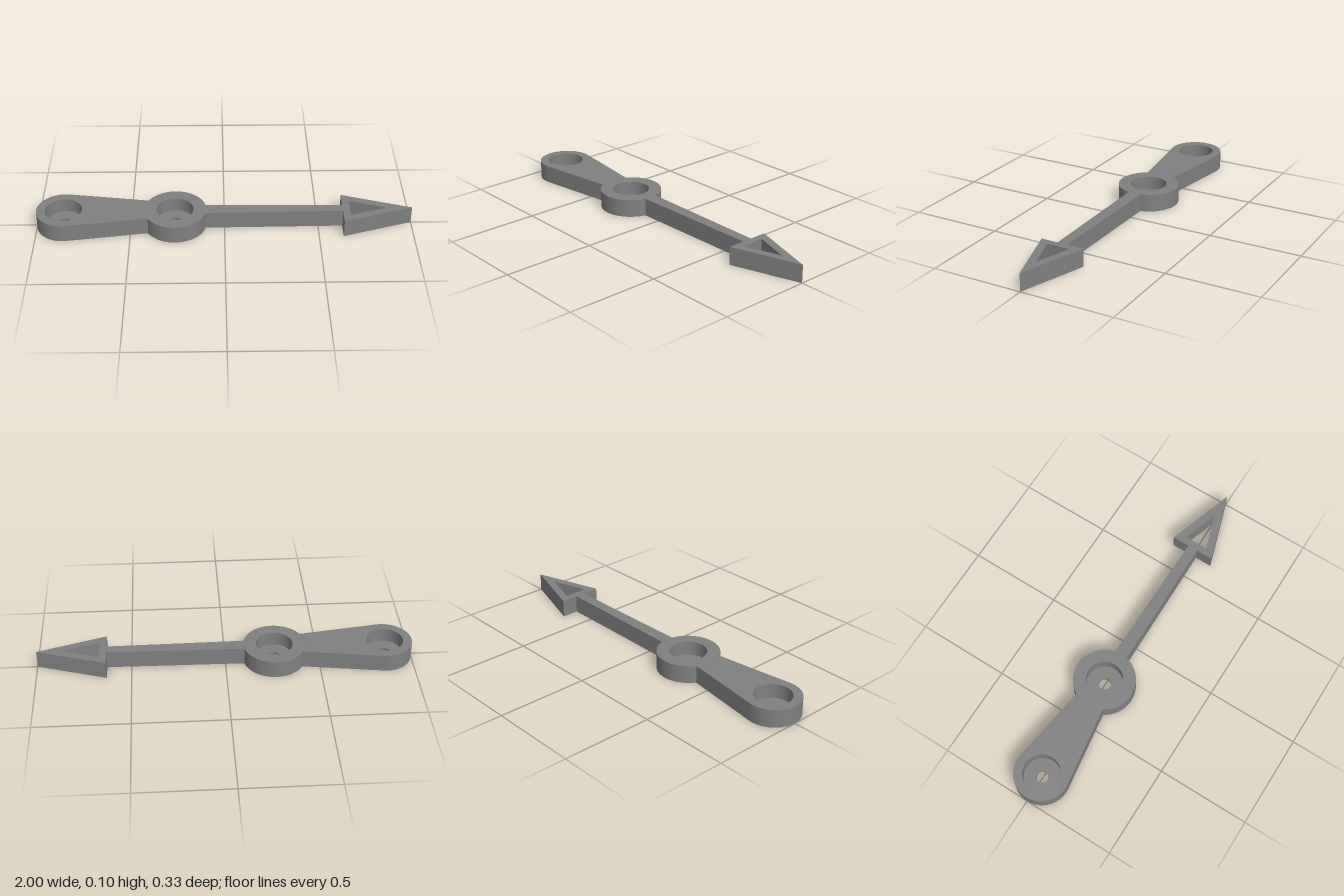
import * as THREE from 'three';
import { toCreasedNormals } from 'three/addons/utils/BufferGeometryUtils.js';

const HEIGHT = 0.097, FLOOR = 0.02;
const BORE = 0.098, PIN = 0.031;
const TAIL = { x: -0.855, r: 0.145 };
const HUB = { x: -0.262, r: 0.165 };

export function createModel() {
  const group = new THREE.Group();
  const grey = new THREE.MeshStandardMaterial({ color: 0x808080 });
  grey.name = 'grey';

  // Extrudes a plan outline upward from the ground
  function addPlate(name, shape, height = HEIGHT) {
    let geo = new THREE.ExtrudeGeometry(shape, { depth: height, bevelEnabled: false, curveSegments: 48 });
    geo.rotateX(-Math.PI / 2);
    geo = toCreasedNormals(geo, 0.5);
    const mesh = new THREE.Mesh(geo, grey);
    mesh.name = name;
    group.add(mesh);
  }

  function circle(x, r, Type = THREE.Shape) {
    return new Type().absarc(x, 0, r, 0, Math.PI * 2, false);
  }

  function polygon(points, Type = THREE.Shape) {
    return new Type(points.map(([x, y]) => new THREE.Vector2(x, y)));
  }

  // Tapered tail arm: rounded outer end, concave end that fits the hub
  const tangent = 1.427, armAngle = 0.513;
  const tail = new THREE.Shape();
  tail.absarc(TAIL.x, 0, TAIL.r, tangent, Math.PI * 2 - tangent, false);
  tail.absarc(HUB.x, 0, HUB.r, Math.PI + armAngle, Math.PI - armAngle, true);
  tail.closePath();
  tail.holes.push(circle(TAIL.x, BORE, THREE.Path));
  addPlate('tailArm', tail);

  // Round hub
  const hub = circle(HUB.x, HUB.r);
  hub.holes.push(circle(HUB.x, BORE, THREE.Path));
  addPlate('hub', hub);

  // Thin floors of the two sockets, each with a pin hole
  for (const [name, x] of [['tailSocketFloor', TAIL.x], ['hubSocketFloor', HUB.x]]) {
    const floor = circle(x, BORE);
    floor.holes.push(circle(x, PIN, THREE.Path));
    addPlate(name, floor, FLOOR);
  }

  // Slightly tapered shaft
  const shaft = new THREE.Shape();
  shaft.absarc(HUB.x, 0, HUB.r, -0.22, 0.22, false);
  shaft.lineTo(0.63, 0.027);
  shaft.lineTo(0.63, -0.027);
  shaft.closePath();
  addPlate('shaft', shaft);

  // Open triangular arrowhead
  const head = polygon([[0.63, -0.12], [1, 0], [0.63, 0.12]]);
  head.holes.push(polygon([[0.668, -0.064], [0.668, 0.064], [0.863, 0]], THREE.Path));
  addPlate('arrowhead', head);

  return group;
}
